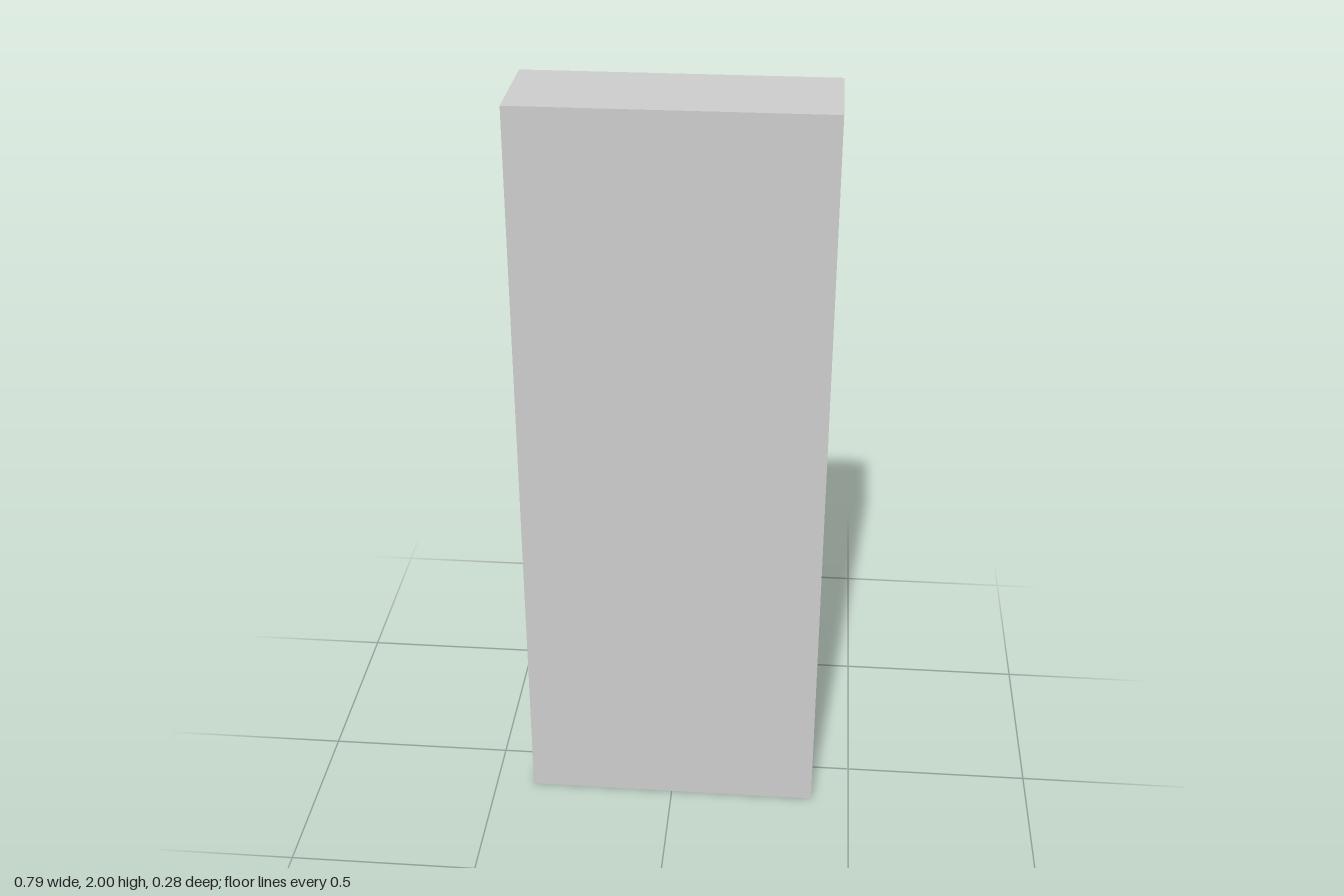
import * as THREE from 'three';

const W = 0.79, H = 2, D = 0.278;      // overall size
const SIDE = 0.019, BOARD = 0.02, BACK = 0.022;
const PLINTH_INSET = 0.02;
const SHELF_TOPS = [0.117, 0.412, 0.732, 1.075, 1.398, 1.712];

export function createModel() {
  const bookcase = new THREE.Group();
  bookcase.name = 'bookcase';
  const material = new THREE.MeshStandardMaterial({ color: 0xcccccc });

  // Box given by its lower and upper corners
  const board = (name, [x0, y0, z0], [x1, y1, z1]) => {
    const mesh = new THREE.Mesh(new THREE.BoxGeometry(x1 - x0, y1 - y0, z1 - z0), material);
    mesh.position.set((x0 + x1) / 2, (y0 + y1) / 2, (z0 + z1) / 2);
    mesh.name = name;
    bookcase.add(mesh);
  };

  const open = -D / 2;                 // the shelves open towards -z
  const wall = D / 2 - BACK;           // inner face of the closed panel
  const inner = W / 2 - SIDE;

  // Closed panel and uprights
  board('backPanel', [-W / 2, 0, wall], [W / 2, H, D / 2]);
  board('leftSide', [inner, 0, open], [W / 2, H, wall]);
  board('rightSide', [-W / 2, 0, open], [-inner, H, wall]);

  // Top board and shelves between the uprights
  board('topBoard', [-inner, H - BOARD, open], [inner, H, wall]);
  SHELF_TOPS.forEach((top, i) =>
    board(`shelf${i + 1}`, [-inner, top - BOARD, open], [inner, top, wall]));

  // Solid plinth, set back under the lowest shelf
  board('plinth', [-inner, 0, open + PLINTH_INSET], [inner, SHELF_TOPS[0] - BOARD, wall]);

  return bookcase;
}
